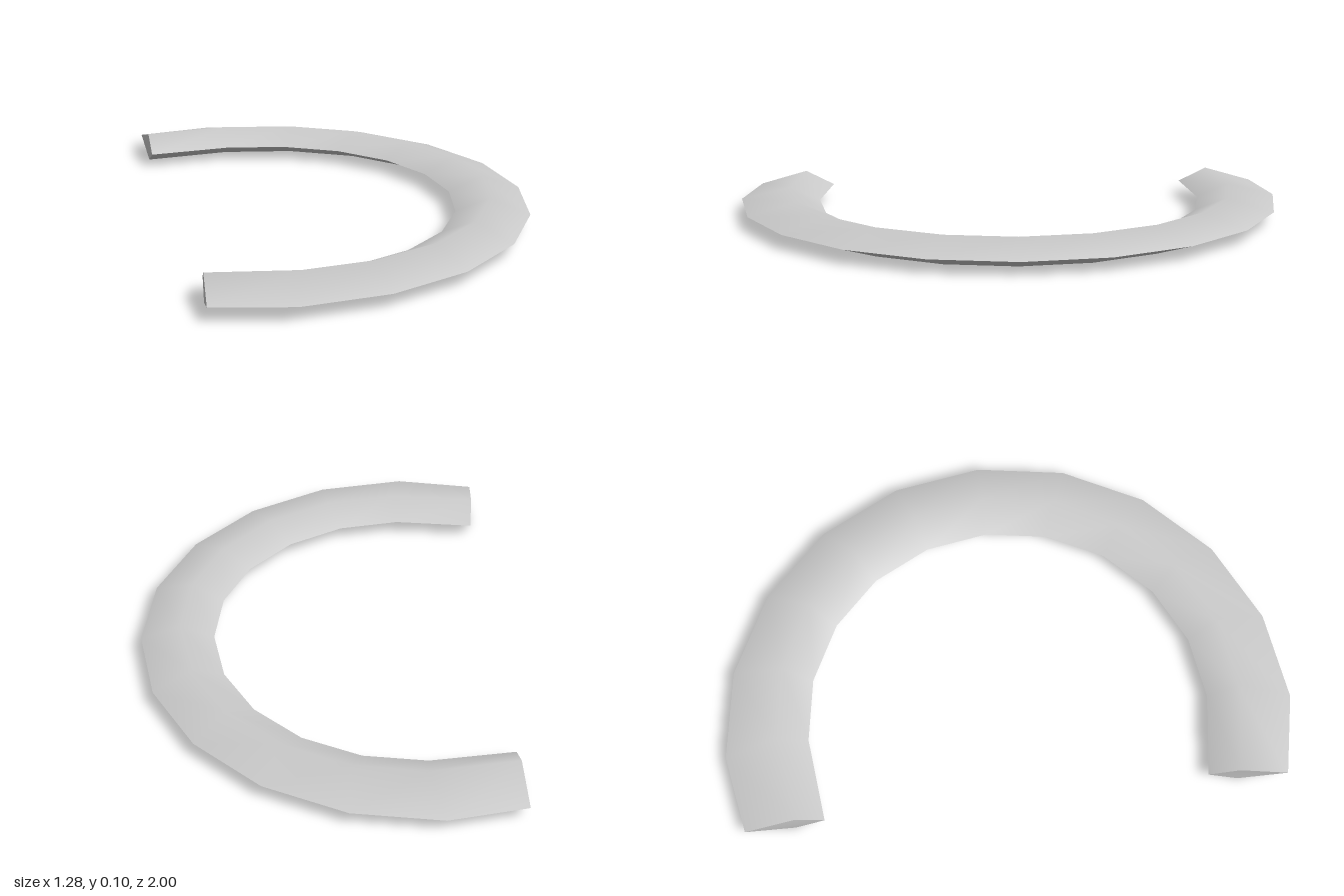
import * as THREE from 'three';
import { toCreasedNormals } from 'three/addons/utils/BufferGeometryUtils.js';

// Diamond profile: each corner runs along its own circle (centre x, radius, height)
const CORNERS = [
  { cx: -0.362, r: 1.0, y: 0.051 }, // outer edge
  { cx: -0.32, r: 0.817, y: 0.102 }, // top ridge
  { cx: -0.33, r: 0.707, y: 0.051 }, // inner edge
  { cx: -0.32, r: 0.817, y: 0 }, // bottom ridge
];

// Profiles at the two cut ends, as [x, z] per corner
const BACK_END = [[-0.635, -0.952], [-0.625, -0.778], [-0.624, -0.675], [-0.625, -0.778]];
const FRONT_END = [[-0.639, 0.946], [-0.625, 0.775], [-0.614, 0.669], [-0.625, 0.775]];

function openRingGeometry() {
  const toRing = (end) => end.map(([x, z], j) => [x, CORNERS[j].y, z]);
  const rings = [toRing(BACK_END)];
  for (let i = -5; i <= 5; i++) {
    const a = (i * Math.PI) / 10;
    rings.push(CORNERS.map(({ cx, r, y }) => [cx + r * Math.cos(a), y, r * Math.sin(a)]));
  }
  rings.push(toRing(FRONT_END));

  const index = [];
  const last = (rings.length - 1) * 4;
  for (let i = 0; i < last; i += 4) {
    for (let j = 0; j < 4; j++) {
      const a = i + j;
      const b = i + ((j + 1) % 4);
      index.push(a, b, a + 4, b, b + 4, a + 4);
    }
  }
  // End caps
  index.push(0, 2, 1, 0, 3, 2);
  index.push(last, last + 1, last + 2, last, last + 2, last + 3);

  const geometry = new THREE.BufferGeometry();
  geometry.setAttribute('position', new THREE.Float32BufferAttribute(rings.flat(2), 3));
  geometry.setIndex(index);
  // Smooth along the band and over its ridges, sharp at the rims and the ends
  return toCreasedNormals(geometry, 0.95);
}

export function createModel() {
  const group = new THREE.Group();
  group.name = 'openRing';
  const band = new THREE.Mesh(
    openRingGeometry(),
    new THREE.MeshStandardMaterial({ color: 0xcccccc })
  );
  band.name = 'crescentBand';
  group.add(band);
  return group;
}
